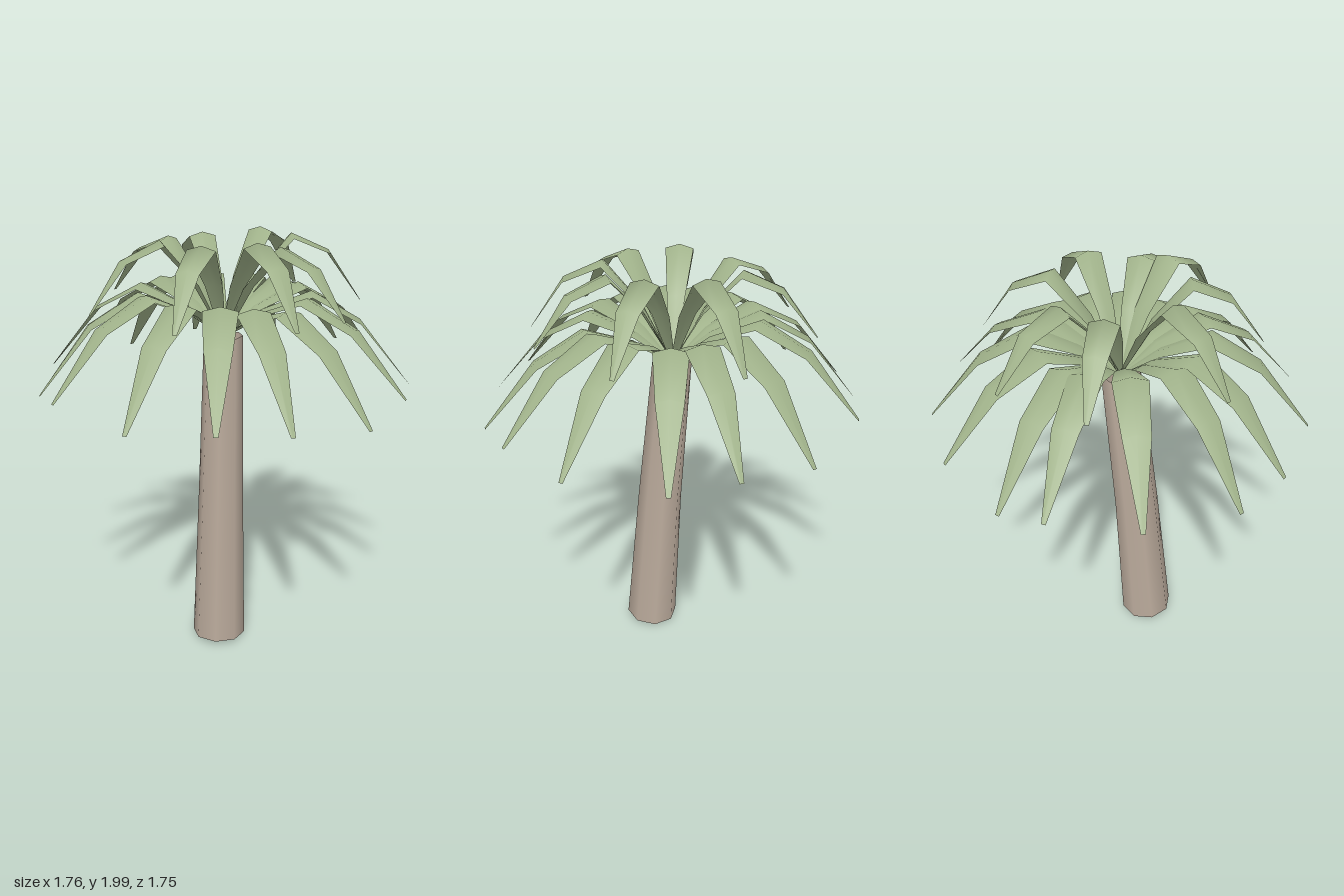
import * as THREE from 'three';

const leafGreen = new THREE.MeshStandardMaterial({ color: 0xa0b28a, side: THREE.DoubleSide });
leafGreen.name = 'leafGreen';
const barkBrown = new THREE.MeshStandardMaterial({ color: 0xbcac9d, side: THREE.DoubleSide });
barkBrown.name = 'barkBrown';

// Trunk rings from the ground up: centre x, y, z, radius, tilt
const RINGS = [
  [0.10, 0.015, 0.11, 0.13, 0.055],
  [0.057, 0.77, 0.062, 0.109, 0.05],
  [0.002, 1.53, 0.003, 0.093, 0],
];

// Leaf stations: fraction of reach, height, half width, sag of the edges below the midrib
const LOWER = [
  [0, 1.52, 0.012, 0], [0.2, 1.66, 0.046, 0.012], [0.46, 1.755, 0.078, 0.02],
  [0.72, 1.625, 0.06, 0.015], [1, 1.31, 0.01, 0],
];
const UPPER = [
  [0, 1.52, 0.012, 0], [0.22, 1.8, 0.042, 0.012], [0.48, 1.998, 0.066, 0.02],
  [0.75, 1.92, 0.052, 0.015], [1, 1.68, 0.01, 0],
];

// Leaf tips: x, y, z and how much flatter the arch is
const LOWER_TIPS = [
  [-0.14, 1.35, -0.88, 0.01], [0.15, 1.31, -0.88, 0.01], [0.56, 1.3, -0.68, 0.01], [0.79, 1.33, -0.4, 0.02],
  [0.88, 1.28, -0.09, 0.04], [0.82, 1.32, 0.29, 0.02], [0.67, 1.34, 0.56, 0.01], [0.37, 1.31, 0.79, 0],
  [-0.08, 1.34, 0.87, 0], [-0.34, 1.3, 0.8, 0], [-0.69, 1.33, 0.54, 0], [-0.86, 1.34, 0.18, 0],
  [-0.88, 1.3, -0.04, 0], [-0.78, 1.35, -0.4, 0], [-0.48, 1.31, -0.74, 0],
];
const UPPER_TIPS = [
  [-0.2, 1.68, -0.62, 0], [0.33, 1.68, -0.56, 0], [0.63, 1.68, -0.16, 0.03], [0.64, 1.68, 0.12, 0],
  [0.36, 1.68, 0.53, 0.01], [-0.16, 1.68, 0.62, 0.01], [-0.6, 1.68, 0.22, 0.03], [-0.62, 1.68, -0.21, 0.03],
];

// Leaning, tapering open tube with the smooth radial normals of the cylinder
function makeTrunk() {
  const geo = new THREE.CylinderGeometry(1, 1, 2, 8, 2, true);
  const p = geo.attributes.position;
  for (let i = 0; i < p.count; i++) {
    const [cx, cy, cz, r, tilt] = RINGS[Math.round(p.getY(i)) + 1];
    const x = p.getX(i) * r, z = p.getZ(i) * r;
    p.setXYZ(i, cx + x, cy + tilt * (x + z), cz + z);
  }
  const mesh = new THREE.Mesh(geo, barkBrown);
  mesh.name = 'trunk';
  return mesh;
}

// Arched strip, gently folded along its midrib, from the crown to its tip
function makeLeaf([tx, ty, tz, flatten], profile) {
  const last = profile.length - 1;
  const geo = new THREE.PlaneGeometry(2, last, 2, last);
  const p = geo.attributes.position;
  const reach = Math.hypot(tx, tz);
  const dx = tx / reach, dz = tz / reach;
  for (let i = 0; i < p.count; i++) {
    const k = Math.round(p.getY(i) + last / 2);
    const [f, h, w, sag] = profile[k];
    const side = p.getX(i) * w;
    const y = h + (ty - profile[last][1]) * f * f
      - flatten * Math.sin(Math.PI * f) - sag * Math.abs(p.getX(i));
    p.setXYZ(i, dx * f * reach - dz * side, y, dz * f * reach + dx * side);
  }
  geo.computeVertexNormals();
  return new THREE.Mesh(geo, leafGreen);
}

function makeCrown(name, tips, profile) {
  const crown = new THREE.Group();
  crown.name = name;
  for (const tip of tips) {
    const leaf = makeLeaf(tip, profile);
    leaf.name = 'leaf';
    crown.add(leaf);
  }
  return crown;
}

export function createModel() {
  const tree = new THREE.Group();
  tree.name = 'palmTree';
  tree.add(
    makeTrunk(),
    makeCrown('lowerLeaves', LOWER_TIPS, LOWER),
    makeCrown('upperLeaves', UPPER_TIPS, UPPER),
  );
  return tree;
}
